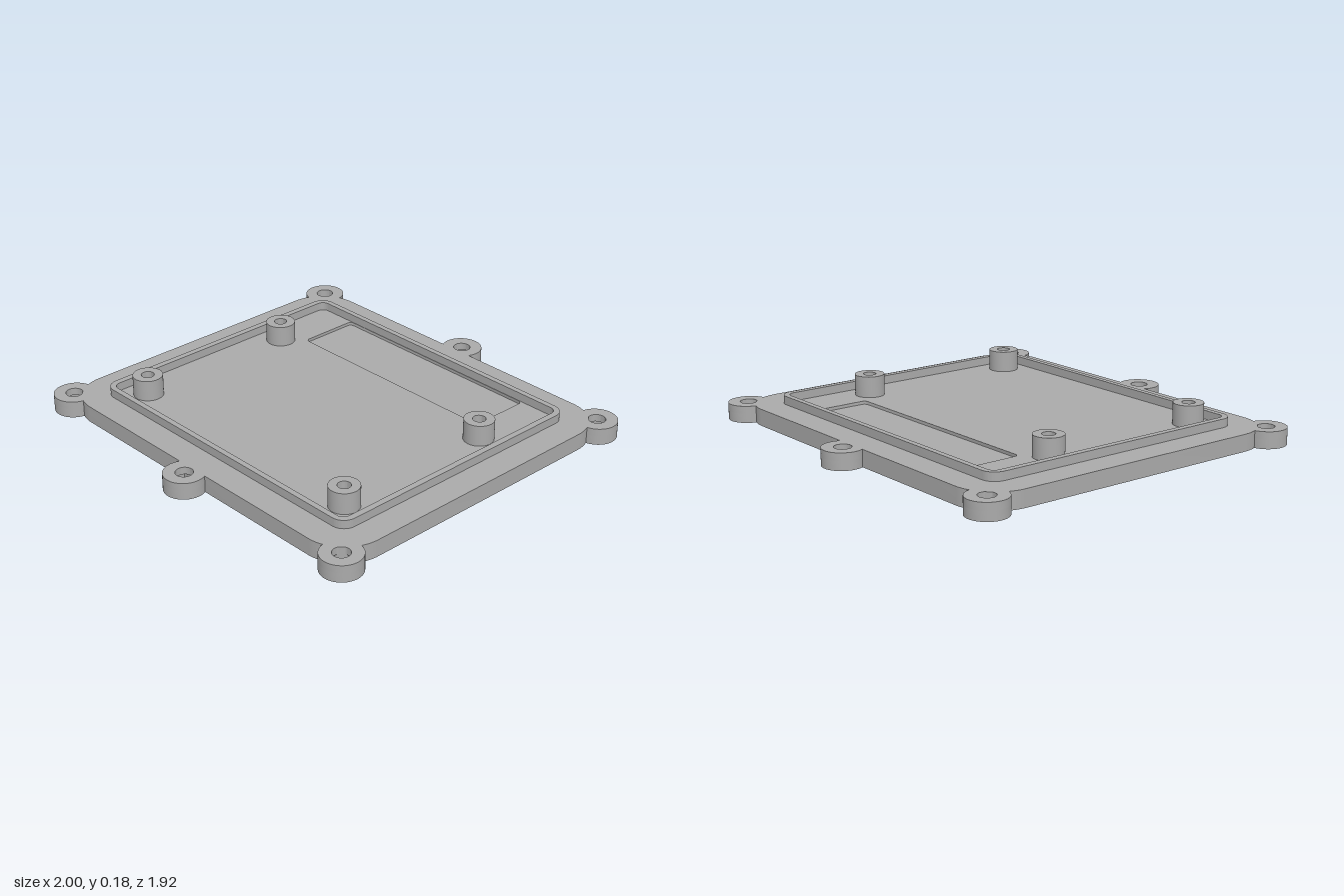
import * as THREE from 'three';
import { toCreasedNormals } from 'three/addons/utils/BufferGeometryUtils.js';

// Rounded rectangle outline with half sizes w, d, centred on (0, cy)
function roundedRect(w, d, r, cy = 0, Type = THREE.Shape) {
  const s = new Type();
  const corners = [[w - r, cy + d - r, 0], [-w + r, cy + d - r, 1], [-w + r, cy - d + r, 2], [w - r, cy - d + r, 3]];
  for (const [x, y, q] of corners) s.absarc(x, y, r, q * Math.PI / 2, (q + 1) * Math.PI / 2, false);
  s.closePath();
  return s;
}

function ringShape(outer, inner) {
  const s = new THREE.Shape().absarc(0, 0, outer, 0, Math.PI * 2, false);
  s.holes.push(new THREE.Path().absarc(0, 0, inner, 0, Math.PI * 2, true));
  return s;
}

// Upright prism between heights y0 and y1; shape y maps to -z
function prism(shape, y0, y1) {
  const g = new THREE.ExtrudeGeometry(shape, { depth: y1 - y0, bevelEnabled: false, curveSegments: 20 });
  g.rotateX(-Math.PI / 2);
  g.translate(0, y0, 0);
  return toCreasedNormals(g, 0.6);
}

export function createModel() {
  const model = new THREE.Group();
  model.name = 'enclosureLid';
  const grey = new THREE.MeshStandardMaterial({ color: 0xaaaaaa });
  grey.name = 'grey';
  const add = (name, geometry, x = 0, z = 0) => {
    const mesh = new THREE.Mesh(geometry, grey);
    mesh.name = name;
    mesh.position.set(x, 0, z);
    model.add(mesh);
  };

  // Plate in two layers, the upper one holding the shallow pocket
  const plateTop = 0.08, pocketFloor = 0.065;
  add('plateBottom', prism(roundedRect(0.94, 0.82, 0.2), 0, pocketFloor));
  const upper = roundedRect(0.94, 0.82, 0.2);
  upper.holes.push(roundedRect(0.57, 0.15, 0.02, 0.508, THREE.Path));
  add('plateTop', prism(upper, pocketFloor, plateTop));

  // Raised sealing lip
  const lip = roundedRect(0.805, 0.687, 0.065);
  lip.holes.push(roundedRect(0.775, 0.66, 0.035, 0, THREE.Path));
  add('sealingLip', prism(lip, plateTop, 0.12));

  // Screw tabs around the rim, counterbored from below
  const tabLower = prism(ringShape(0.095, 0.07), 0, 0.045);
  const tabUpper = prism(ringShape(0.095, 0.04), 0.045, plateTop);
  for (const z of [-1, 1]) {
    for (const x of [-0.905, 0, 0.905]) {
      const tz = z * (x === 0 ? 0.863 : 0.79);
      add('screwTabCounterbore', tabLower, x, tz);
      add('screwTab', tabUpper, x, tz);
    }
  }

  // Hollow standoffs
  const standoff = prism(ringShape(0.07, 0.03), plateTop, 0.18);
  for (const x of [-0.66, 0.66]) for (const z of [-0.27, 0.545]) add('standoff', standoff, x, z);

  return model;
}
